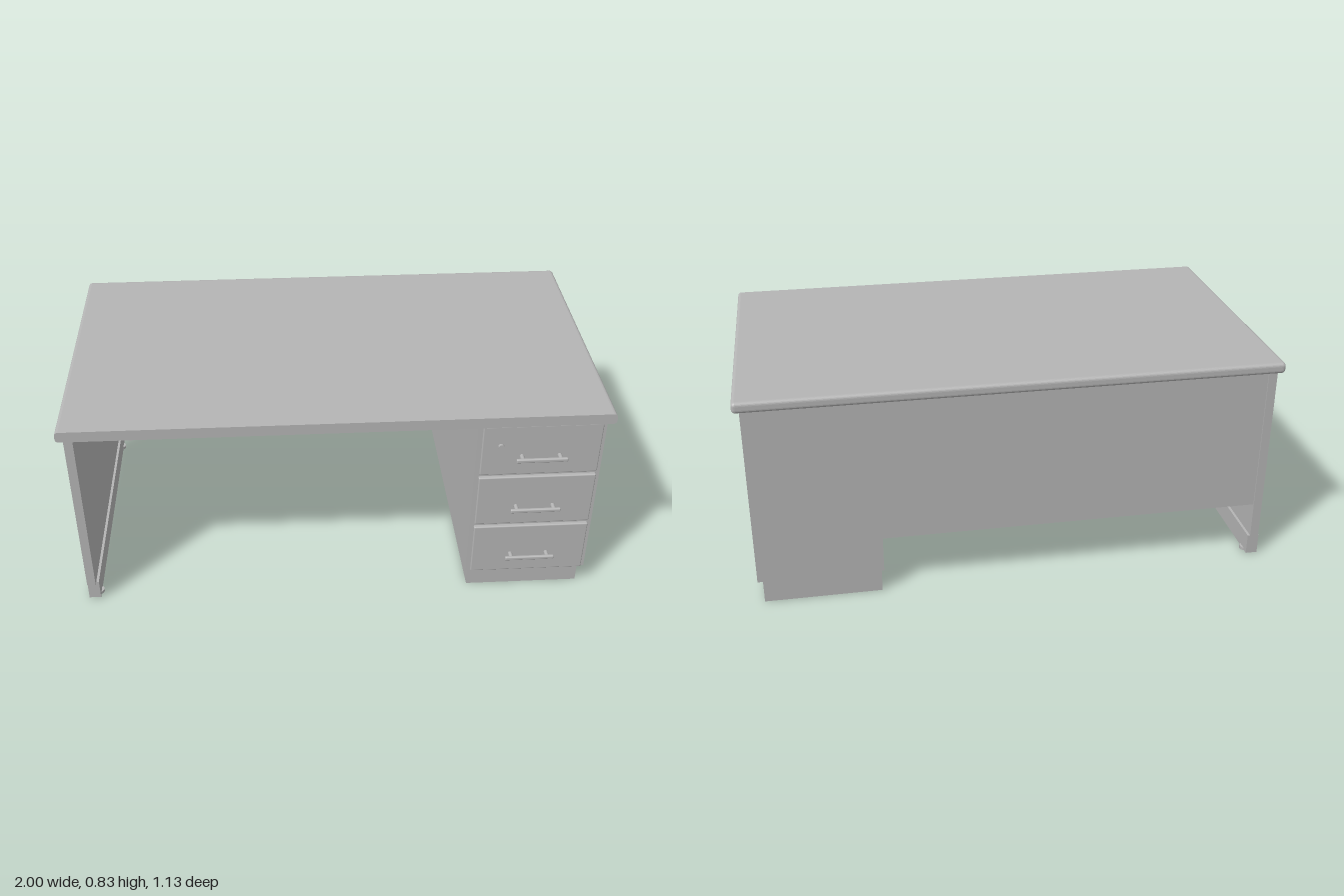
import * as THREE from 'three';
import { RoundedBoxGeometry } from 'three/addons/geometries/RoundedBoxGeometry.js';

export function createModel() {
  const desk = new THREE.Group();
  desk.name = 'desk';
  const grey = new THREE.MeshStandardMaterial({ color: 0xb4b4b4 });
  grey.name = 'grey laminate';

  function add(name, geometry, parent = desk) {
    const mesh = new THREE.Mesh(geometry, grey);
    mesh.name = name;
    parent.add(mesh);
    return mesh;
  }
  // box from its limits; r rounds the edges
  function box(name, x0, x1, y0, y1, z0, z1, r = 0, parent = desk) {
    const size = [x1 - x0, y1 - y0, z1 - z0];
    const g = r ? new RoundedBoxGeometry(...size, 3, r) : new THREE.BoxGeometry(...size);
    g.translate((x0 + x1) / 2, (y0 + y1) / 2, (z0 + z1) / 2);
    return add(name, g, parent);
  }
  function rod(name, radius, length, parent) {
    return add(name, new THREE.CylinderGeometry(radius, radius, length, 16), parent);
  }

  // worktop: rounded at sides and back, cut square at the front
  const front = 0.54;
  const top = box('worktop', -1, 1, 0.792, 0.834, -0.565, front + 0.014, 0.014).geometry;
  const p = top.attributes.position;
  for (let i = 0; i < p.count; i++) p.setZ(i, Math.min(p.getZ(i), front));
  top.computeVertexNormals();

  // drawer pedestal on a recessed plinth
  box('pedestal', 0.505, 0.975, 0.088, 0.792, -0.543, 0.515);
  box('plinth', 0.515, 0.955, 0, 0.088, -0.543, 0.498);

  // drawers with bar handles
  [[0.57, 0.788, 0.655], [0.333, 0.556, 0.419], [0.095, 0.318, 0.182]].forEach(([y0, y1, hy], i) => {
    const drawer = new THREE.Group();
    drawer.name = 'drawer' + (i + 1);
    desk.add(drawer);
    box('drawerFront', 0.52, 0.96, y0, y1, 0.512, 0.53, 0.005, drawer);
    box('handleBar', 0.645, 0.835, hy - 0.008, hy + 0.008, 0.554, 0.567, 0.005, drawer);
    for (const x of [0.67, 0.81]) {
      const post = rod('handlePost', 0.008, 0.03, drawer);
      post.rotation.x = Math.PI / 2;
      post.position.set(x, hy, 0.543);
    }
  });
  const lock = rod('lock', 0.011, 0.012, desk);
  lock.rotation.x = Math.PI / 2;
  lock.position.set(0.59, 0.702, 0.534);

  // side leg panel, foot rail and levelling feet
  box('sidePanel', -0.978, -0.945, 0.085, 0.792, -0.543, 0.515);
  box('footRail', -0.98, -0.935, 0.004, 0.085, -0.543, 0.498);
  for (const z of [-0.5, 0.46]) rod('levellingFoot', 0.02, 0.012, desk).position.set(-0.945, 0.006, z);

  // back panel and the tray hung behind it under the worktop
  box('modestyPanel', -0.945, 0.505, 0.225, 0.792, -0.538, -0.51);
  box('trayBottom', -0.89, 0.445, 0.725, 0.735, -0.51, -0.41);
  box('trayLip', -0.89, 0.445, 0.725, 0.784, -0.42, -0.41);

  return desk;
}
